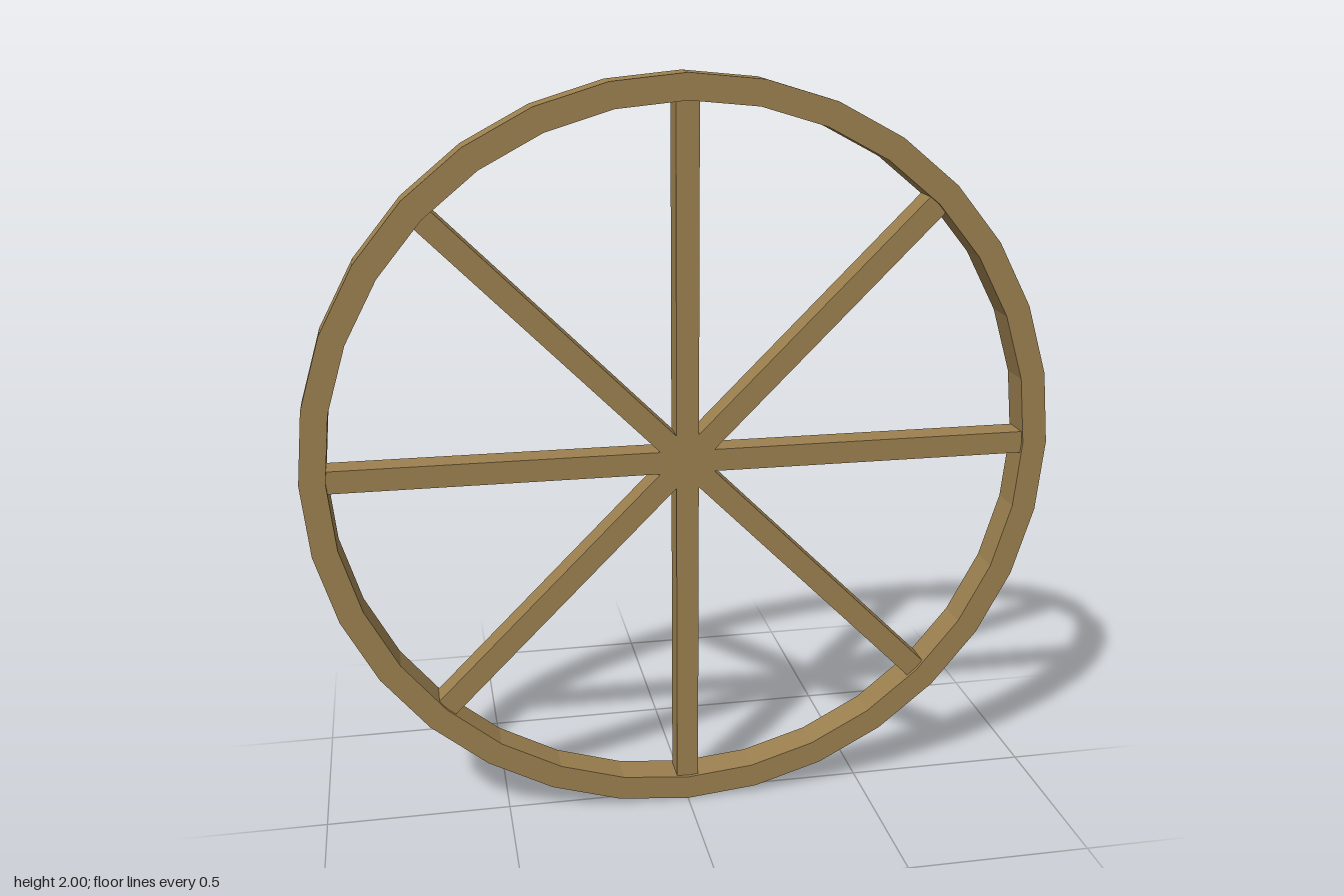
import * as THREE from 'three';

const DEPTH = 0.094;
const SIDES = 32;

// Corner points of a regular polygon with a vertex at the top, anticlockwise
function ring(radius) {
  return Array.from({ length: SIDES }, (_, i) => {
    const a = (i / SIDES) * Math.PI * 2;
    return new THREE.Vector2(-Math.sin(a) * radius, Math.cos(a) * radius);
  });
}

export function createModel() {
  const model = new THREE.Group();
  model.name = 'spokedWheel';
  const wood = new THREE.MeshStandardMaterial({ color: 0x9c804f, flatShading: true });
  wood.name = 'wood';

  const wheel = new THREE.Group();
  wheel.name = 'wheel';
  wheel.position.y = 1;
  model.add(wheel);

  // Faceted rim
  const shape = new THREE.Shape(ring(1));
  shape.holes.push(new THREE.Path(ring(0.933).reverse()));
  const rimGeometry = new THREE.ExtrudeGeometry(shape, { depth: DEPTH, bevelEnabled: false });
  rimGeometry.translate(0, 0, -DEPTH / 2);
  const rim = new THREE.Mesh(rimGeometry, wood);
  rim.name = 'rim';
  wheel.add(rim);

  // Four bars, slightly thinner than the rim, cross at the centre to make eight spokes
  const barGeometry = new THREE.BoxGeometry(0.06, 1.91, 0.075);
  for (let i = 0; i < 4; i++) {
    const bar = new THREE.Mesh(barGeometry, wood);
    bar.name = `spokeBar${i + 1}`;
    bar.rotation.z = (i * Math.PI) / 4;
    wheel.add(bar);
  }
  return model;
}
